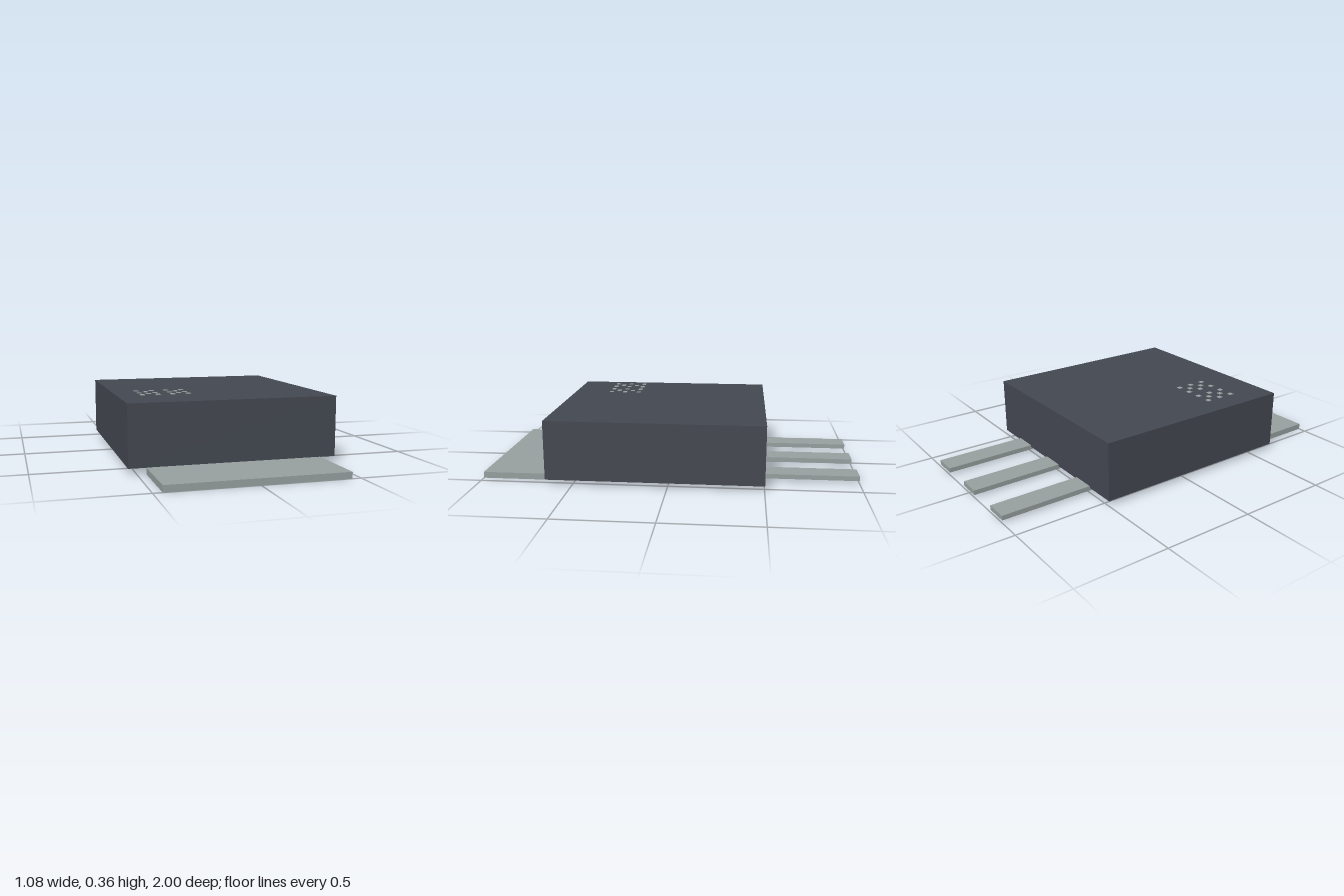
import * as THREE from 'three';

export function createModel() {
  const group = new THREE.Group();
  const plastic = new THREE.MeshStandardMaterial({ name: 'dark plastic', color: 0x444851 });
  const metal = new THREE.MeshStandardMaterial({ name: 'tinned metal', color: 0x98a0a0 });

  // Box given by its minimum and maximum corners
  function block(name, material, min, max, parent = group) {
    const size = max.map((v, i) => v - min[i]);
    const mesh = new THREE.Mesh(new THREE.BoxGeometry(...size), material);
    mesh.position.set(...max.map((v, i) => (v + min[i]) / 2));
    mesh.name = name;
    parent.add(mesh);
  }

  // Moulded case and the wide heat tab at the front
  block('case', plastic, [-0.542, 0.03, -0.502], [0.542, 0.345, 0.64]);
  block('heatTab', metal, [-0.455, 0, 0.65], [0.455, 0.033, 1]);

  // Three flat leads, tucked under the back edge of the case
  const leads = new THREE.Group();
  leads.name = 'leads';
  [-0.308, -0.002, 0.304].forEach((x, i) =>
    block(`lead${i + 1}`, metal, [x - 0.062, 0.015, -1], [x + 0.062, 0.04, -0.47], leads));
  group.add(leads);

  // Two small patches of plain chequered dots, just above the case
  const dots = new THREE.Group();
  dots.name = 'surfaceDots';
  for (const x0 of [-0.424, -0.264]) {
    for (let col = 0; col < 3; col++) {
      for (let row = 0; row < 5; row++) {
        if ((col + row) % 2) continue;
        const x = x0 + col * 0.041;
        const z = 0.248 + row * 0.041;
        block('dot', metal, [x - 0.012, 0.354, z - 0.012], [x + 0.012, 0.357, z + 0.012], dots);
      }
    }
  }
  group.add(dots);

  return group;
}
